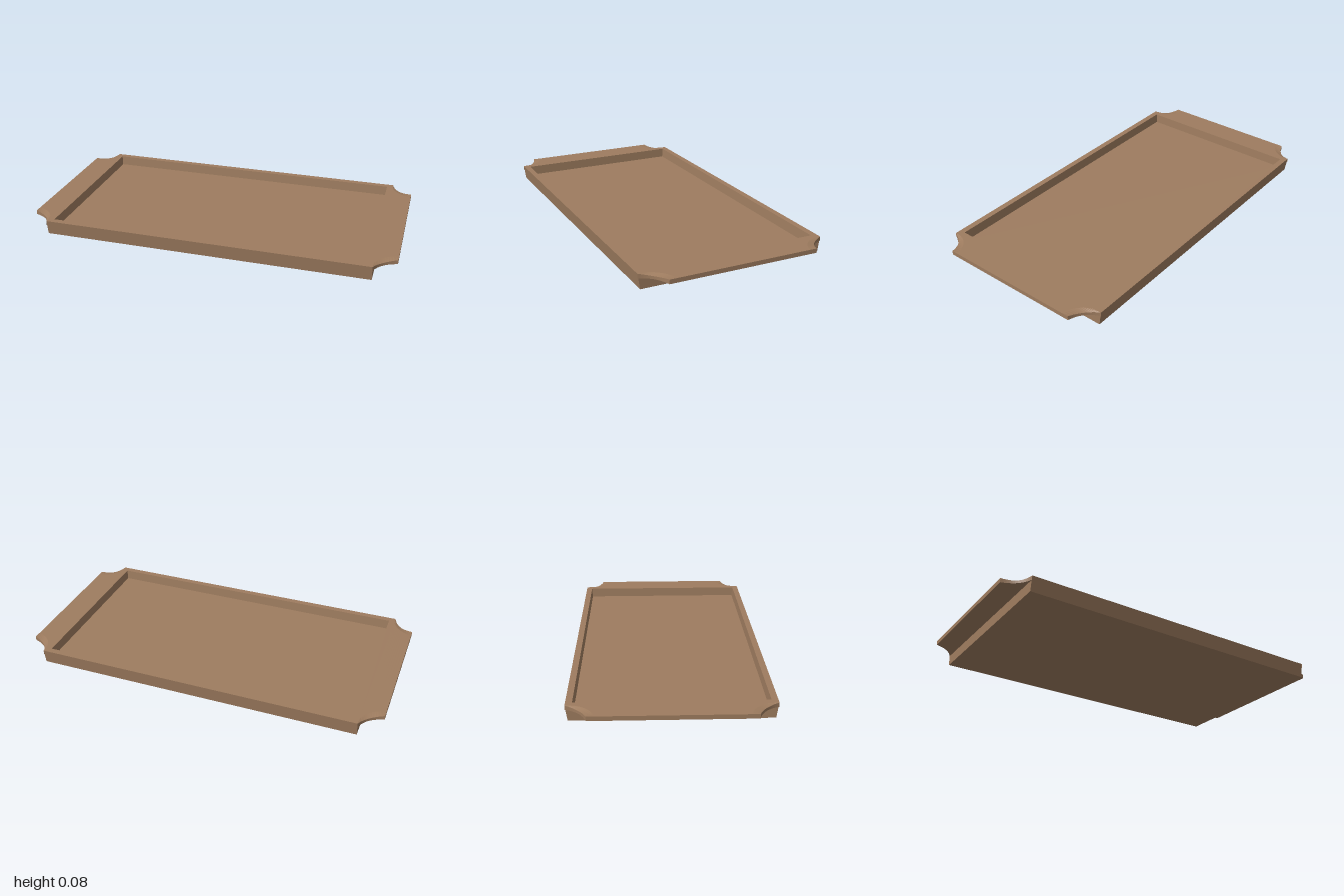
import * as THREE from 'three';

// Skin a row of convex cross-section loops, with both ends capped.
function loft(loops) {
  const pos = [];
  const tri = (a, b, c) => pos.push(...a, ...b, ...c);
  const n = loops[0].length;
  for (let i = 0; i < loops.length - 1; i++) {
    const A = loops[i], B = loops[i + 1];
    for (let j = 0; j < n; j++) {
      const k = (j + 1) % n;
      tri(A[j], A[k], B[k]);
      tri(A[j], B[k], B[j]);
    }
  }
  const first = loops[0], last = loops[loops.length - 1];
  for (let j = 1; j < n - 1; j++) {
    tri(first[0], first[j + 1], first[j]);
    tri(last[0], last[j], last[j + 1]);
  }
  const geo = new THREE.BufferGeometry();
  geo.setAttribute('position', new THREE.Float32BufferAttribute(pos, 3));
  geo.computeVertexNormals();
  return geo;
}

const rectLoop = (x, y, z) => [[x, y, z], [x, y, -z], [-x, y, -z], [-x, y, z]];

export function createModel() {
  const group = new THREE.Group();
  const wood = new THREE.MeshStandardMaterial({ color: 0x9e7c5f });
  wood.name = 'wood';

  const top = 0.08, floor = 0.027, under = 0.057;

  // Tray body: outer wall, rim, inner wall and floor in one skin
  const body = new THREE.Mesh(loft([
    rectLoop(0.885, 0, 0.493),
    rectLoop(0.885, top, 0.505),
    rectLoop(0.853, top, 0.472),
    rectLoop(0.85, floor, 0.468),
  ]), wood);
  body.name = 'trayBody';
  group.add(body);

  // Handle ledge: scooped corners whose edges dip a little
  const scoop = new THREE.QuadraticBezierCurve(
    new THREE.Vector2(0.885, 0.505), new THREE.Vector2(0.91, 0.425), new THREE.Vector2(1, 0.4));
  const sections = [];
  for (let i = 0; i <= 12; i++) {
    const t = i / 12;
    const { x, y: w } = scoop.getPoint(t);
    const edge = top - 0.008 * Math.sin(Math.PI * t);
    const inner = w - 0.04;
    sections.push([
      [x, under, w], [x, under, -w], [x, edge, -w],
      [x, top, -inner], [x, top, inner], [x, edge, w],
    ]);
  }
  const handleGeo = loft(sections);
  ['leftHandle', 'rightHandle'].forEach((name, i) => {
    const handle = new THREE.Mesh(handleGeo, wood);
    handle.name = name;
    handle.rotation.y = i * Math.PI;
    group.add(handle);
  });

  return group;
}
